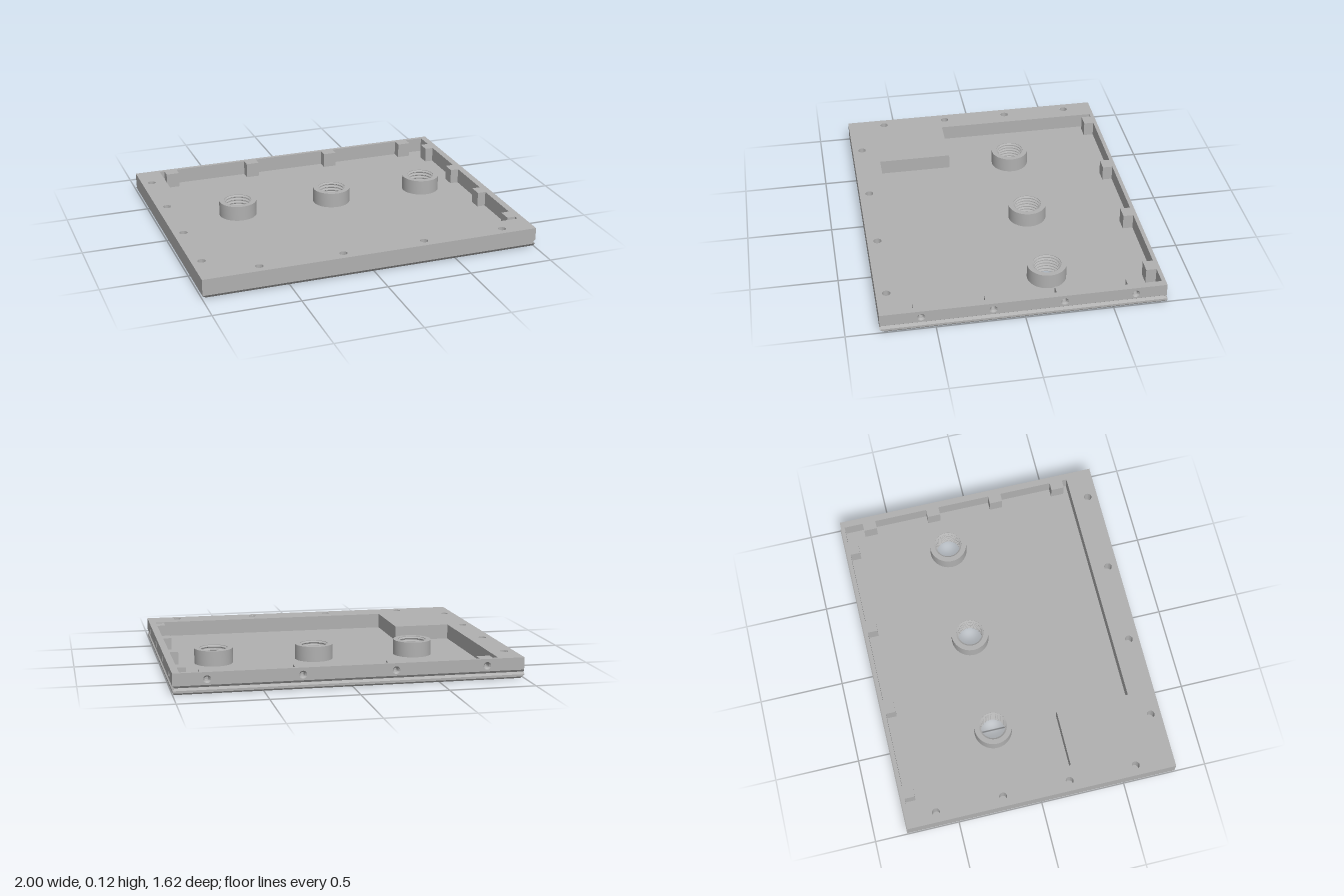
import * as THREE from 'three';
import { toCreasedNormals } from 'three/addons/utils/BufferGeometryUtils.js';

const TOP = 0.12, FLOOR = 0.03, LEDGE = 0.048, BACK = -0.803;
const BOSS_X = [-0.51, 0.095, 0.695], BOSS_Z = -0.178, BOSS_R = 0.113, BORE_R = 0.083;
const BACK_HOLES = [0.81, 0.28, -0.25, -0.78];   // x positions
const RIGHT_HOLES = [0.58, 0.18, -0.22, -0.625]; // z positions

// Rectangle as [x, z] corners, counter-clockwise seen from above
const rect = (x0, x1, z0, z1) => [[x0, z1], [x1, z1], [x1, z0], [x0, z0]];
const circle = (x, y, r) => new THREE.Path().absarc(x, y, r, 0, Math.PI * 2);
const outline = (pts, s = 1, Type = THREE.Path) =>
  new Type(pts.map(([x, z]) => new THREE.Vector2(x, s * z)));

// Flat-sided surface through [points, y] loops; lists going up face outward, going down inward
function loft(levels) {
  const pos = [];
  for (let k = 0; k < levels.length - 1; k++) {
    const [lo, y0] = levels[k], [hi, y1] = levels[k + 1];
    lo.forEach((p, i) => {
      const j = (i + 1) % lo.length;
      const a = [p[0], y0, p[1]], b = [lo[j][0], y0, lo[j][1]];
      const c = [hi[j][0], y1, hi[j][1]], d = [hi[i][0], y1, hi[i][1]];
      pos.push(...a, ...b, ...c, ...a, ...c, ...d);
    });
  }
  const g = new THREE.BufferGeometry();
  g.setAttribute('position', new THREE.Float32BufferAttribute(pos, 3));
  g.computeVertexNormals();
  return g;
}

// Horizontal face at height y, looking up (s = -1) or down (s = 1)
function plate(pts, y, s, circles = [], loops = []) {
  const shape = outline(pts, s, THREE.Shape);
  for (const [x, z, r] of circles) shape.holes.push(circle(x, s * z, r));
  for (const l of loops) shape.holes.push(outline(l, s));
  return new THREE.ShapeGeometry(shape, 24).rotateX(s * Math.PI / 2).translate(0, y, 0);
}

const lathe = (pts, segments) => toCreasedNormals(
  new THREE.LatheGeometry(pts.map(p => new THREE.Vector2(...p)), segments), 0.5);

export function createModel() {
  const group = new THREE.Group();
  const grey = new THREE.MeshStandardMaterial({ color: 0xb0b0b0 });
  const add = (name, geometry, x = 0, y = 0, z = 0) => {
    const mesh = new THREE.Mesh(geometry, grey);
    mesh.name = name;
    mesh.position.set(x, y, z);
    group.add(mesh);
  };

  // Cavity outline with screw tabs along the right and back walls
  const cavity = [[-0.51, 0.65], [0.96, 0.65]];
  const t = 0.04;
  for (const z of RIGHT_HOLES)
    cavity.push([0.96, z + t], [0.91, z + t], [0.91, z - t], [0.96, z - t]);
  cavity.push([0.96, -0.78]);
  for (const x of BACK_HOLES)
    cavity.push([x + t, -0.78], [x + t, -0.72], [x - t, -0.72], [x - t, -0.78]);
  cavity.push([-0.85, -0.78], [-0.85, 0.21], [-0.51, 0.21]);

  // Top rim with pin holes on the left and front
  const pins = [
    ...[-0.62, -0.22, 0.18, 0.58].map(z => [-0.94, z, 0.023]),
    ...[-0.66, -0.17, 0.32, 0.81].map(x => [x, 0.75, 0.023]),
  ];
  add('topRim', plate(rect(-1, 1, BACK, 0.81), TOP, -1, pins, [cavity]));
  const pinPocket = lathe([[0.023, 0], [0.023, -0.08], [0, -0.08]], 24);
  for (const [x, z] of pins) add('pinHole', pinPocket, x, TOP, z);

  // Cavity walls and floor
  add('cavityWalls', loft([[cavity, TOP], [cavity, FLOOR]]));
  add('cavityFloor', plate(cavity, FLOOR, -1, BOSS_X.map(x => [x, BOSS_Z, BOSS_R])));

  // Lower edge: bevel on the left and front, lip and groove on the right and back
  const base = rect(-0.977, 0.992, -0.802, 0.787);
  add('lowerEdge', loft([
    [base, 0],
    [rect(-0.987, 1, -0.81, 0.797), 0.01],
    [rect(-1, 1, -0.81, 0.81), 0.023],
    [rect(-1, 0.985, -0.793, 0.81), 0.035],
    [rect(-1, 1, BACK, 0.81), LEDGE],
  ]));

  // Upright outer walls, drilled on the right and back
  const wall = (name, u0, u1, holes, turn, x, z) => {
    const shape = outline([[u0, LEDGE], [u1, LEDGE], [u1, TOP], [u0, TOP]], 1, THREE.Shape);
    for (const u of holes) shape.holes.push(circle(u, 0.08, 0.022));
    add(name, new THREE.ShapeGeometry(shape, 16).rotateY(turn), x, 0, z);
  };
  wall('frontWall', -1, 1, [], 0, 0, 0.81);
  wall('leftEdgeWall', BACK, 0.81, [], -Math.PI / 2, -1, 0);
  wall('drilledSideWall', -0.81, -BACK, RIGHT_HOLES.map(z => -z), Math.PI / 2, 1, 0);
  wall('backWall', -1, 1, BACK_HOLES.map(x => -x), Math.PI, 0, BACK);

  // Countersunk screw holes
  const screwHole = () => lathe([[0.022, 0], [0.013, -0.01], [0.013, -0.06], [0, -0.06]], 24);
  const sideHole = screwHole().rotateZ(-Math.PI / 2);
  const backHole = screwHole().rotateX(-Math.PI / 2);
  for (const z of RIGHT_HOLES) add('sideScrewHole', sideHole, 1, 0.08, z);
  for (const x of BACK_HOLES) add('backScrewHole', backHole, x, 0.08, BACK);

  // Threaded bosses, open right through the floor
  const profile = [[BOSS_R, FLOOR], [BOSS_R, TOP], [BORE_R, TOP]];
  const turns = 6, pitch = TOP / turns;
  for (let i = 0; i < turns; i++) {
    const y = TOP - i * pitch;
    profile.push([BORE_R, y - pitch * 0.15], [0.073, y - pitch * 0.45],
      [0.073, y - pitch * 0.6], [BORE_R, y - pitch * 0.9]);
  }
  profile.push([BORE_R, 0]);
  const boss = lathe(profile, 48);
  for (const x of BOSS_X) add('threadedBoss', boss, x, 0, BOSS_Z);

  // Underside with a tapered pocket below the solid corner
  const mouth = rect(-0.92, -0.62, 0.325, 0.625);
  const roof = rect(-0.845, -0.695, 0.4, 0.55);
  add('underside', plate(base, 0, 1, BOSS_X.map(x => [x, BOSS_Z, BORE_R]), [mouth]));
  add('pocketWalls', loft([[roof, 0.08], [mouth, 0]]));
  add('pocketRoof', plate(roof, 0.08, 1));

  return group;
}
